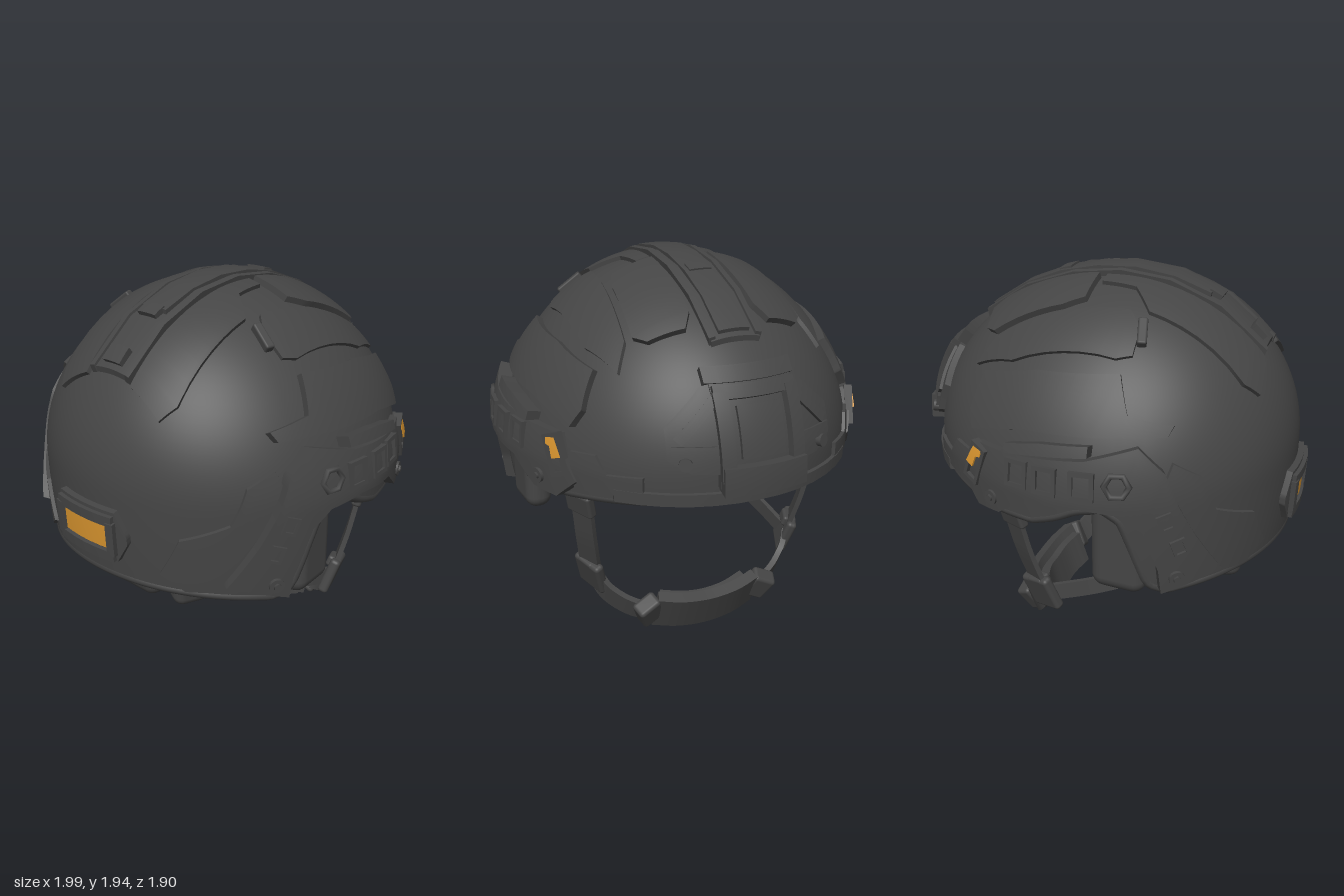
import * as THREE from 'three';
import { toCreasedNormals } from 'three/addons/utils/BufferGeometryUtils.js';
import { RoundedBoxGeometry } from 'three/addons/geometries/RoundedBoxGeometry.js';

const X0 = -0.08, Y0 = 1.1, H = 0.81, TUCK = 0.14;
const radX = (front) => (front ? 0.98 : 0.87);
const radZ = (h) => 0.87 - 0.08 * Math.max(h, 0);
const bulge = (h) => (h > 0 ? h * h : TUCK * h * h);
const root = (v) => Math.sqrt(Math.max(v, 0));
const V = (x, y, z) => new THREE.Vector3(x, y, z);

// Point of the dome seen along an axis: side (x,y), top (x,z), front or back (z,y)
function onDome(axis, u, v) {
  if (axis === 'side') {
    const h = (v - Y0) / H;
    return V(u, v, radZ(h) * root(1 - bulge(h) - ((u - X0) / radX(u > X0)) ** 2));
  }
  if (axis === 'top') {
    let h = 0.8;
    for (let i = 0; i < 12; i++) h = root(1 - ((u - X0) / radX(u > X0)) ** 2 - (v / radZ(h)) ** 2);
    return V(u, Y0 + H * h, v);
  }
  const h = (v - Y0) / H, f = axis === 'front';
  return V(X0 + (f ? 1 : -1) * radX(f) * root(1 - bulge(h) - (u / radZ(h)) ** 2), v, u);
}
function domeNormal(p) {
  const h = (p.y - Y0) / H;
  return V((p.x - X0) / radX(p.x > X0) ** 2, (h > 0 ? h : TUCK * h) / H, p.z / radZ(h) ** 2).normalize();
}
const polyAt = (pts, u) => {
  const f = u * (pts.length - 1), i = Math.min(Math.floor(f), pts.length - 2), t = f - i;
  return [0, 1].map((k) => pts[i][k] * (1 - t) + pts[i + 1][k] * t);
};
// Grid of points to an indexed geometry
function gridGeometry(rows) {
  const pos = [], idx = [], c = rows[0].length;
  rows.forEach((r) => r.forEach((p) => pos.push(p.x, p.y, p.z)));
  for (let j = 0; j < rows.length - 1; j++) for (let i = 0; i < c - 1; i++) {
    const a = j * c + i, b = a + 1, d = a + c, e = d + 1;
    idx.push(a, d, b, b, d, e);
  }
  const g = new THREE.BufferGeometry();
  g.setAttribute('position', new THREE.Float32BufferAttribute(pos, 3));
  g.setIndex(idx);
  return g;
}
const crease = (g) => { g.computeVertexNormals(); return toCreasedNormals(g, 0.6); };

// Plate on the dome, lofted between two edge lines of equal length; it faces inward if off is below low
function panel(axis, top, bottom, off, low = -0.02, taper = 0) {
  const n = 6 * (top.length - 1), m = 10, steps = (k) => {
    const s = [0, 0.015];
    for (let i = 1; i < k; i++) s.push(i / k);
    return [...s, 0.985, 1];
  };
  const us = steps(n), vs = steps(m);
  const rows = vs.map((t, j) => us.map((u, i) => {
    const a = polyAt(top, u), b = polyAt(bottom, u);
    const p = onDome(axis, a[0] * (1 - t) + b[0] * t, a[1] * (1 - t) + b[1] * t);
    const edge = !i || !j || i === us.length - 1 || j === vs.length - 1;
    return p.addScaledVector(domeNormal(p), edge ? low : off - taper * Math.max(p.x, 0));
  }));
  const j = vs.length >> 1, i = us.length >> 1, p = rows[j][i];
  const face = rows[j + 1][i].clone().sub(p).cross(rows[j][i + 1].clone().sub(p));
  if (face.dot(domeNormal(p)) * (off - low) < 0) rows.reverse();
  return crease(gridGeometry(rows));
}
const rect = (axis, u0, u1, v0, v1, off, low) => panel(axis, [[u0, v1], [u1, v1]], [[u0, v0], [u1, v0]], off, low);

// Seat a geometry on the dome, its +z pointing outward
function seat(g, axis, u, v, off, turn = 0) {
  const p = onDome(axis, u, v), n = domeNormal(p);
  const x = V(0, 1, 0).cross(n).normalize(), y = n.clone().cross(x);
  g.rotateZ(turn).applyMatrix4(new THREE.Matrix4().makeBasis(x, y, n));
  return g.translate(p.x + n.x * off, p.y + n.y * off, p.z + n.z * off);
}
function frame(w, h, b, d) {
  const box = (S, a, c) => new S([[-a, -c], [a, -c], [a, c], [-a, c]].map((q) => new THREE.Vector2(...q)));
  const s = box(THREE.Shape, w / 2, h / 2);
  s.holes.push(box(THREE.Path, w / 2 - b, h / 2 - b));
  return new THREE.ExtrudeGeometry(s, { depth: d, bevelEnabled: false });
}
const bolt = (r, d, n = 16) => new THREE.CylinderGeometry(r, r, d, n).rotateX(Math.PI / 2);
const block = (w, h, d, r, x, y, z, rx = 0, ry = 0, rz = 0) =>
  new RoundedBoxGeometry(w, h, d, 3, r).rotateX(rx).rotateY(ry).rotateZ(rz).translate(x, y, z);

// Flat band swept along a smooth path, closed at both ends
function strap(points, across, width, thick) {
  const curve = new THREE.CatmullRomCurve3(points.map((p) => V(...p))), rows = [], n = 28;
  for (let i = 0; i <= n; i++) {
    const c = curve.getPoint(i / n), t = curve.getTangent(i / n);
    const w = V(...across).addScaledVector(t, -t.dot(V(...across))).normalize(), q = t.clone().cross(w);
    const ring = [[1, 1], [-1, 1], [-1, -1], [1, -1], [1, 1]].map(([a, b]) =>
      c.clone().addScaledVector(w, a * width / 2).addScaledVector(q, b * thick / 2));
    if (i === 0) rows.push(ring.map(() => c.clone()));
    rows.push(ring);
    if (i === n) rows.push(ring.map(() => c.clone()));
  }
  return crease(gridGeometry(rows.reverse()));
}
function mirrored(g) {
  const m = g.clone().applyMatrix4(new THREE.Matrix4().makeScale(1, 1, -1));
  const idx = m.index ? Array.from(m.index.array) : Array.from({ length: m.attributes.position.count }, (_, i) => i);
  return m.setIndex(idx.reverse());
}

// Lower edge height along x, with the raised ear cut
const RIM = [[-1, 0.7], [-0.9, 0.68], [-0.5, 0.62], [-0.42, 0.67], [-0.36, 0.86], [-0.3, 1.0], [-0.22, 1.05],
  [-0.1, 1.03], [0, 0.98], [0.12, 0.94], [0.3, 0.94], [0.5, 0.97], [1, 1.03]];
function rimHeight(x) {
  const i = Math.max(1, RIM.findIndex((p) => p[0] >= x)), [a, b] = [RIM[i - 1], RIM[i]];
  return a[1] + (b[1] - a[1]) * (x - a[0]) / (b[0] - a[0]);
}
function shellPoint(a, t, k) {
  const rx = radX(Math.cos(a) > 0), rim = (rimHeight(X0 + rx * Math.cos(a)) - Y0) / H;
  const e = Math.PI / 2 * (1 - t) + rim * t, h = e > 0 ? Math.sin(e) : e;
  const r = k * (e > 0 ? Math.cos(e) : Math.sqrt(1 - TUCK * e * e));
  return V(X0 + rx * r * Math.cos(a), Y0 + H * (h > 0 ? h * k : h), radZ(h) * r * Math.sin(a));
}

export function createModel() {
  const model = new THREE.Group();
  const grey = new THREE.MeshStandardMaterial({ color: 0x454545 });
  grey.name = 'charcoal grey';
  const orange = new THREE.MeshStandardMaterial({ color: 0xd9952f });
  orange.name = 'marker orange';
  const add = (name, g, mat = grey) => {
    const m = new THREE.Mesh(g, mat);
    m.name = name;
    model.add(m);
  };
  const pair = (name, g, mat) => { add(name + 'Left', mirrored(g), mat); add(name + 'Right', g, mat); };

  // Shell with inner and outer skin, plus edge trim
  const N = 180, R = 40, rows = [];
  for (let j = 0; j <= 2 * R + 1; j++) {
    const t = j <= R ? j / R : (2 * R + 1 - j) / R, row = [];
    for (let i = 0; i <= N; i++) row.push(shellPoint(-i / N * Math.PI * 2, t, j <= R ? 1 : 0.94));
    rows.push(row);
  }
  add('shell', crease(gridGeometry(rows)));
  const rim = Array.from({ length: 120 }, (_, i) => shellPoint(i / 120 * Math.PI * 2, 1, 0.97));
  add('edgeTrim', new THREE.TubeGeometry(new THREE.CatmullRomCurve3(rim, true), 240, 0.03, 8, true));
  add('browBand', panel('front', [[-0.6, 1.05], [0, 1.06], [0.6, 1.05]], [[-0.6, 0.99], [0, 1.0], [0.6, 0.99]], 0.02));

  // Cover plates
  pair('sidePlate', panel('side',
    [[-0.5, 1.41], [-0.3, 1.45], [-0.24, 1.6], [0.13, 1.58], [0.42, 1.52], [0.47, 1.35]],
    [[-0.48, 1.37], [-0.3, 1.37], [-0.15, 1.36], [0.15, 1.35], [0.3, 1.32], [0.45, 1.28]], 0.035));
  pair('upperRearPlate', panel('top', [[-0.78, 0.14], [-0.72, 0.14], [-0.28, 0.14], [-0.18, 0.14], [0, 0.14]],
    [[-0.79, 0.32], [-0.72, 0.37], [-0.28, 0.36], [-0.18, 0.23], [0, 0.21]], 0.02));
  pair('upperFrontPlate', panel('top', [[0.02, 0.14], [0.12, 0.14], [0.48, 0.15], [0.55, 0.2]],
    [[0.02, 0.34], [0.12, 0.38], [0.45, 0.41], [0.51, 0.36]], 0.03));
  pair('upperSidePlate', panel('top', [[-0.27, 0.45], [-0.2, 0.37], [0, 0.39], [0.45, 0.44]],
    [[-0.27, 0.56], [-0.2, 0.59], [0.3, 0.58], [0.52, 0.5]], 0.018));
  pair('rearSidePlate', panel('side', [[-0.86, 0.75], [-0.82, 0.95], [-0.68, 1.03], [-0.62, 1.2], [-0.5, 1.27]],
    [[-0.8, 0.68], [-0.7, 0.68], [-0.6, 0.68], [-0.5, 0.75], [-0.42, 1.0]], 0.018));
  pair('templePlate', panel('side', [[0.45, 1.18], [0.57, 1.19], [0.62, 1.11], [0.74, 1.12]],
    [[0.48, 1.0], [0.57, 1.01], [0.64, 1.02], [0.74, 1.04]], 0.016));
  pair('sideClip', seat(new RoundedBoxGeometry(0.045, 0.14, 0.05, 2, 0.01), 'side', -0.28, 1.74, 0.01, 0.1));

  // Crown strip
  add('crownStrip', rect('top', -0.78, 0.65, -0.12, 0.12, 0.022));
  add('crownRidge', rect('top', -0.5, 0.62, -0.075, 0.075, 0.036));
  pair('crownEdge', rect('top', -0.78, 0.64, 0.095, 0.125, 0.034));
  [-0.74, -0.53, 0.2].forEach((x) => add('crownCatch', rect('top', x, x + 0.06, -0.055, 0.055, 0.043)));

  // Side rails with sockets, bolts and markers, thinning towards the front
  pair('sideRail', panel('side',
    [[-0.7, 0.72], [-0.59, 0.95], [-0.47, 1.24], [-0.36, 1.34], [-0.15, 1.28], [0.22, 1.25], [0.4, 1.25], [0.51, 1.02]],
    [[-0.46, 0.64], [-0.45, 0.78], [-0.39, 0.98], [-0.3, 1.06], [-0.12, 1.08], [0.12, 1.06], [0.26, 0.95], [0.41, 0.94]],
    0.07, -0.02, 0.09));
  pair('railLip', panel('side', [[-0.17, 1.335], [0.05, 1.32], [0.22, 1.29]], [[-0.17, 1.29], [0.05, 1.27], [0.22, 1.25]], 0.07));
  [-0.15, 0.01, 0.15].forEach((x) => pair('railSocket',
    seat(frame(0.115, 0.13, 0.02, 0.05), 'side', x, 1.18, 0.032 - 0.09 * Math.max(x, 0))));
  pair('railHexSocket', seat(new THREE.TorusGeometry(0.055, 0.015, 6, 6), 'side', -0.29, 1.19, 0.07));
  [[-0.48, 1.03], [-0.53, 0.9]].forEach(([x, y]) => pair('rearSocket', seat(frame(0.07, 0.085, 0.014, 0.04), 'side', x, y, 0.042, -0.35)));
  [[-0.52, 0.74, 0.065], [0.3, 1.02, 0.035]].forEach(([x, y, d]) => {
    pair('railBolt', seat(bolt(0.036, 0.04), 'side', x, y, d));
    pair('boltCap', seat(bolt(0.018, 0.03, 6), 'side', x, y, d + 0.015));
  });
  pair('railFrontFrame', seat(frame(0.1, 0.2, 0.02, 0.04), 'side', 0.4, 1.15, 0.008, 0.35));
  pair('railMarker', panel('side', [[0.345, 1.225], [0.395, 1.23], [0.44, 1.15]], [[0.355, 1.19], [0.38, 1.185], [0.4, 1.135]], 0.058, 0.05), orange);

  // Front mount
  pair('mountWing', panel('front', [[0.14, 1.52], [0.22, 1.5], [0.39, 1.34]], [[0.14, 1.14], [0.3, 1.15], [0.39, 1.21]], 0.03));
  pair('wingRib', panel('front', [[0.18, 1.47], [0.36, 1.3]], [[0.18, 1.42], [0.33, 1.27]], 0.045));
  pair('wingFoot', panel('front', [[0.19, 1.27], [0.37, 1.27]], [[0.19, 1.22], [0.37, 1.22]], 0.045));
  pair('mountBolt', seat(bolt(0.03, 0.04), 'front', -0.32, 1.2, 0.035));
  add('mountPlate', rect('front', -0.19, 0.19, 1.08, 1.53, 0.04));
  pair('mountFrameSide', rect('front', 0.125, 0.185, 1.12, 1.47, 0.075));
  add('mountFrameTop', rect('front', -0.185, 0.185, 1.44, 1.49, 0.07));
  add('mountFrameBottom', rect('front', -0.185, 0.185, 1.07, 1.19, 0.095));
  add('mountInset', rect('front', -0.1, 0.1, 1.21, 1.42, 0.06));
  add('mountCap', rect('front', -0.21, 0.21, 1.5, 1.56, 0.05));

  // Rear box with a marker sunk in its frame
  add('rearBox', panel('back', [[-0.24, 0.92], [-0.18, 1.04], [0.18, 1.04], [0.24, 0.92]],
    [[-0.24, 0.89], [-0.18, 0.78], [0.18, 0.78], [0.24, 0.89]], 0.03));
  add('rearFrameTop', rect('back', -0.18, 0.18, 0.97, 1.02, 0.05));
  add('rearFrameBottom', rect('back', -0.18, 0.18, 0.79, 0.84, 0.05));
  pair('rearFrameSide', rect('back', 0.145, 0.185, 0.82, 0.99, 0.055));
  add('rearMarker', rect('back', -0.145, 0.145, 0.845, 0.965, 0.036, 0.03), orange);

  // Inner pads
  pair('earPad', block(0.27, 0.5, 0.14, 0.065, -0.27, 0.84, 0.73, 0, 0.08));
  pair('rearSidePad', block(0.3, 0.36, 0.1, 0.05, -0.58, 0.8, 0.58, 0, -0.75));
  pair('templePad', rect('side', -0.05, 0.42, 1.1, 1.42, -0.13, -0.04));
  add('browPad', rect('front', -0.32, 0.32, 1.1, 1.35, -0.12, -0.04));
  add('backPad', rect('back', -0.25, 0.25, 0.8, 1.3, -0.15, -0.04));
  add('napePad', block(0.16, 0.22, 0.66, 0.07, -0.74, 0.69, 0, 0, 0, 0.2));
  add('napeCushion', block(0.2, 0.19, 0.36, 0.07, -0.65, 0.56, 0, 0, 0, 0.3));
  pair('napeWing', block(0.18, 0.14, 0.22, 0.05, -0.66, 0.61, 0.33, 0.2, -0.4));
  add('crownPad', rect('top', -0.35, 0.3, -0.3, 0.3, -0.13, -0.04));

  // Straps, buckles and chin cup
  pair('frontStrap', strap([[0.32, 1.0, 0.72], [0.315, 0.85, 0.65], [0.27, 0.6, 0.61], [0.2, 0.36, 0.57]], [1, 0.1, -0.55], 0.12, 0.025));
  pair('strapSlider', block(0.16, 0.13, 0.05, 0.015, 0.31, 0.83, 0.645, 0.2, 0.5, -0.1));
  pair('rearStrap', strap([[-0.68, 0.66, 0.3], [-0.43, 0.54, 0.4], [-0.1, 0.43, 0.52], [0.18, 0.35, 0.57]], [0.2, 1, 0], 0.085, 0.025));
  pair('rearSlider', block(0.1, 0.12, 0.05, 0.015, -0.43, 0.54, 0.4, 0, -0.3, -0.3));
  pair('sideBuckle', block(0.18, 0.2, 0.055, 0.02, 0.2, 0.36, 0.57, 0.25, 0.4, -0.2));
  pair('buckleCap', block(0.1, 0.06, 0.075, 0.015, 0.21, 0.43, 0.58, 0.25, 0.4, -0.2));
  pair('chinStrap', strap([[0.2, 0.35, 0.56], [0.26, 0.25, 0.5], [0.33, 0.17, 0.38], [0.36, 0.14, 0.24]], [0.4, 0.9, 0], 0.12, 0.03));
  pair('chinBuckle', block(0.09, 0.16, 0.13, 0.02, 0.36, 0.16, 0.32, 0.35, 0.3, -0.4));
  add('chinCup', strap([[0.35, 0.15, 0.28], [0.385, 0.13, 0.15], [0.395, 0.12, 0], [0.385, 0.13, -0.15], [0.35, 0.15, -0.28]], [0.4, 0.9, 0], 0.22, 0.06));
  add('chinCushion', strap([[0.31, 0.13, 0.25], [0.345, 0.11, 0.12], [0.35, 0.1, 0], [0.345, 0.11, -0.12], [0.31, 0.13, -0.25]], [0.25, 0.95, 0], 0.19, 0.06));
  return model;
}
